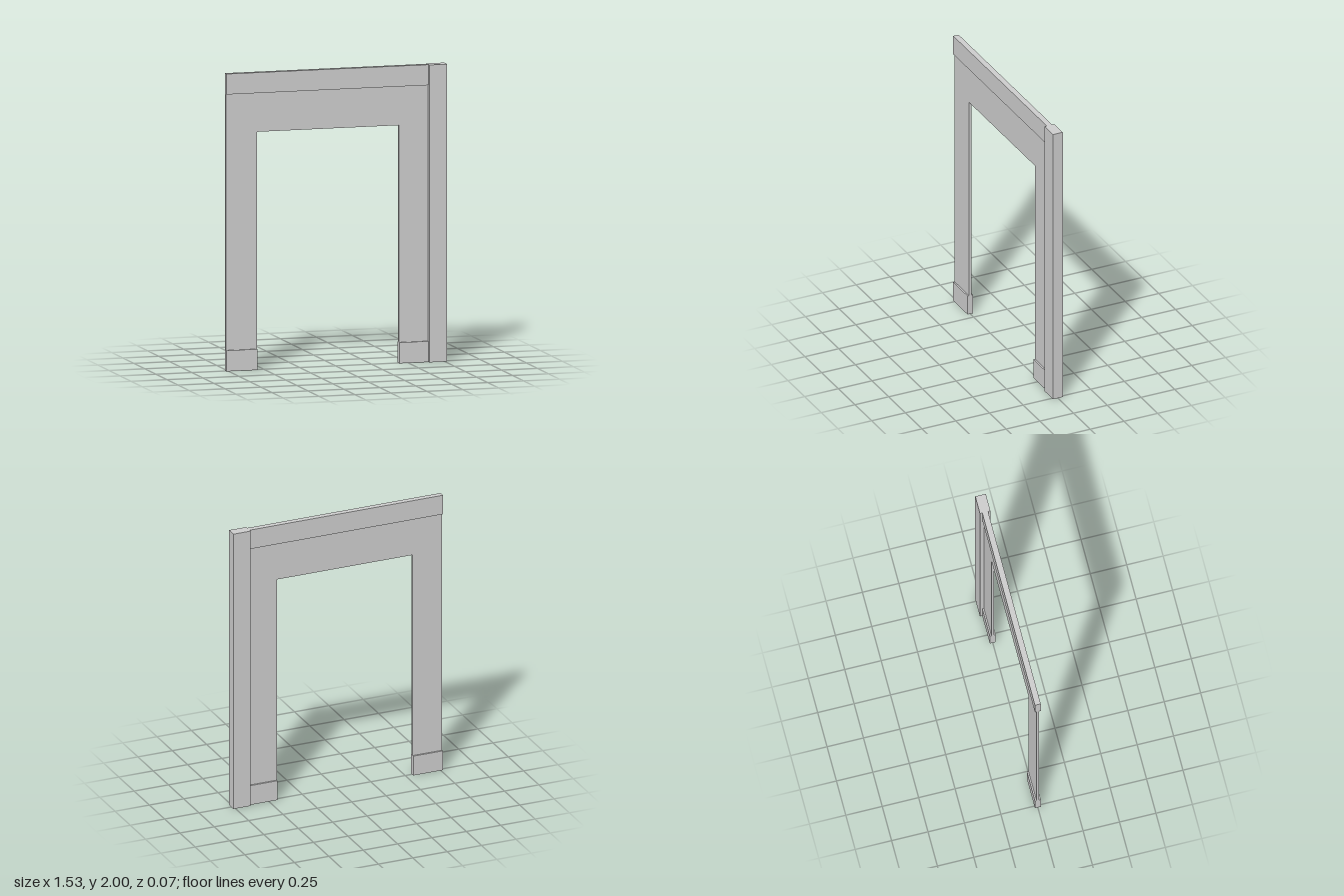
import * as THREE from 'three';

export function createModel() {
  const group = new THREE.Group();
  const material = new THREE.MeshStandardMaterial({ color: 0xcccccc });

  const LEFT = -0.765, RIGHT = 0.765, POST = 0.64; // outer edges and post's inner face
  const DOOR_L = -0.55, DOOR_R = 0.438, DOOR_TOP = 1.6;
  const BASE = 0.14, TRIM = 1.862, TOP = 2;
  const WALL_T = 0.018, TRIM_T = 0.04, POST_T = 0.072;

  // Box given by its x and y limits, centred on z = 0
  function addBox(name, x0, x1, y0, y1, depth) {
    const mesh = new THREE.Mesh(new THREE.BoxGeometry(x1 - x0, y1 - y0, depth), material);
    mesh.position.set((x0 + x1) / 2, (y0 + y1) / 2, 0);
    mesh.name = name;
    group.add(mesh);
  }

  // Thin wall panel with the doorway cut out, fitted between the thicker trims
  const outline = new THREE.Shape([
    [LEFT, BASE], [DOOR_L, BASE], [DOOR_L, DOOR_TOP], [DOOR_R, DOOR_TOP],
    [DOOR_R, BASE], [POST, BASE], [POST, TRIM], [LEFT, TRIM],
  ].map(([x, y]) => new THREE.Vector2(x, y)));
  const wall = new THREE.Mesh(
    new THREE.ExtrudeGeometry(outline, { depth: WALL_T, bevelEnabled: false }), material);
  wall.position.z = -WALL_T / 2;
  wall.name = 'doorwayWall';
  group.add(wall);

  // Top rail, baseboards on both legs, and the full-height corner post
  addBox('topTrim', LEFT, POST, TRIM, TOP, TRIM_T);
  addBox('baseboardRight', LEFT, DOOR_L, 0, BASE, TRIM_T);
  addBox('baseboardLeft', DOOR_R, POST, 0, BASE, TRIM_T);
  addBox('cornerPost', POST, RIGHT, 0, TOP, POST_T);

  return group;
}
